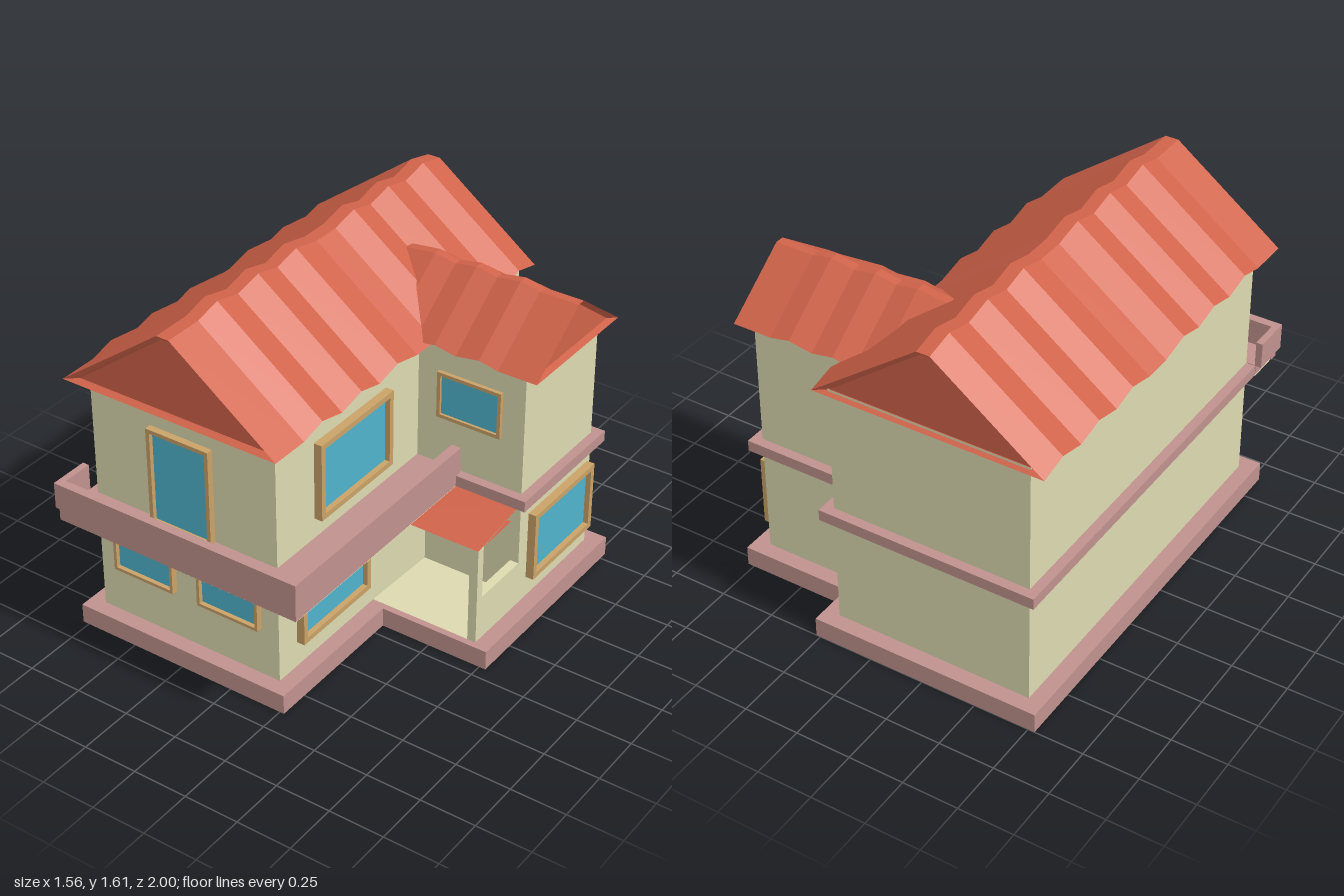
import * as THREE from 'three';

const mat = (color) => new THREE.MeshStandardMaterial({ color, flatShading: true, side: THREE.DoubleSide });
const V = (x, y, z) => new THREE.Vector3(x, y, z);

export function createModel() {
  const house = new THREE.Group();
  house.name = 'house';
  const cream = mat(0xdddab0), red = mat(0xd0634a), pink = mat(0xc0918d);
  const wood = mat(0xcaa267), glass = mat(0x4fb3cd);

  const add = (name, geometry, material, parent = house) => {
    const mesh = new THREE.Mesh(geometry, material);
    mesh.name = name;
    parent.add(mesh);
    return mesh;
  };
  const box = (name, material, [x0, x1], [y0, y1], [z0, z1], parent) =>
    add(name, new THREE.BoxGeometry(x1 - x0, y1 - y0, z1 - z0)
      .translate((x0 + x1) / 2, (y0 + y1) / 2, (z0 + z1) / 2), material, parent);

  // Joins cross-sections of equal length into a skin, optionally capped
  const loft = (sections, closed = true, caps = true) => {
    const pts = [], n = sections[0].length;
    for (let i = 0; i + 1 < sections.length; i++) {
      const a = sections[i], b = sections[i + 1];
      for (let j = 0; j < (closed ? n : n - 1); j++) {
        const k = (j + 1) % n;
        pts.push(a[j], b[j], b[k], a[j], b[k], a[k]);
      }
    }
    if (caps) {
      const last = sections[sections.length - 1];
      for (let j = 1; j + 1 < n; j++) {
        pts.push(sections[0][0], sections[0][j], sections[0][j + 1], last[0], last[j + 1], last[j]);
      }
    }
    const g = new THREE.BufferGeometry().setFromPoints(pts);
    g.computeVertexNormals();
    return g;
  };
  const quad = (name, material, a, b, c, d) => add(name, loft([[a, b], [d, c]], false, false), material);

  // Flat outlines in plan, given as [x, z]
  const ring = (name, outline, y0, y1, material) => add(name,
    loft([outline.map(([x, z]) => V(x, y0, z)), outline.map(([x, z]) => V(x, y1, z))], true, false), material);
  const plan = (outline, hole) => {
    const shape = new THREE.Shape(outline.map(([x, z]) => new THREE.Vector2(x, z)));
    if (hole) shape.holes.push(new THREE.Path(hole.map(([x, z]) => new THREE.Vector2(x, z))));
    return shape;
  };
  const plate = (name, shape, y, material) =>
    add(name, new THREE.ShapeGeometry(shape).rotateX(Math.PI / 2).translate(0, y, 0), material);
  const slab = (name, shape, y0, y1, material) =>
    add(name, new THREE.ExtrudeGeometry(shape, { depth: y1 - y0, bevelEnabled: false })
      .rotateX(Math.PI / 2).translate(0, y1, 0), material);
  // Main block with a wing on its left; o widens it all round
  const footprint = (o, wingFront, p = o) => [
    [-0.71 - o, 0.82 + o], [0.2 + o, 0.82 + o], [0.2 + o, wingFront + p], [0.71 + o, wingFront + p],
    [0.71 + o, -0.72 - o], [0.2 + o, -0.72 - o], [0.2 + o, -0.93 - o], [-0.71 - o, -0.93 - o]];

  // Walls, base and belt course
  const wallLine = footprint(0, -0.16);
  ring('walls', wallLine, 0.09, 1.23, cream);
  const baseLine = footprint(0.07, 0.16, 0.03);
  ring('baseSkirt', baseLine, 0, 0.09, pink);
  plate('baseLedge', plan(baseLine, footprint(0, 0.16)), 0.09, pink);
  slab('beltCourse', plan(footprint(0.043, -0.16), wallLine), 0.6, 0.65, pink);

  // Balcony wrapping the front and the left side
  const balconyLine = [[-0.755, 0.82], [0.2, 0.82], [0.2, -0.16], [0.42, -0.16], [0.42, 0.998], [-0.755, 0.998]];
  plate('balconyUnderside', plan(balconyLine), 0.598, cream);
  const floorLine = balconyLine.map(([x, z]) => [Math.min(x, 0.4), Math.min(z, 0.98)]);
  slab('balconyFloor', plan(floorLine), 0.605, 0.652, pink);
  box('balconyFrontParapet', pink, [-0.78, 0.42], [0.65, 0.77], [0.96, 1]);
  box('balconyFrontEdge', pink, [-0.76, 0.42], [0.6, 0.65], [0.96, 1]);
  box('balconySideParapet', pink, [0.375, 0.42], [0.6, 0.77], [-0.15, 0.96]);
  box('balconyEndParapet', pink, [-0.78, -0.75], [0.65, 0.77], [0.82, 0.96]);

  // Gabled roof running along z, rippled along its length, gables set back
  const roofSkin = (stations, y, half, ridge, height, ripple, inset) => {
    const section = (z, lift, s = 0) => [
      V(-half + 2.2 * s, y + lift + s * 0.4, z), V(-ridge, y + height + lift - s, z),
      V(ridge, y + height + lift - s, z), V(half - 2.2 * s, y + lift + s * 0.4, z)];
    const first = stations[0], last = stations[stations.length - 1];
    return loft([
      section(first[0] - 0.03, 0, inset),
      ...stations.map(([z, up]) => section(z, up * ripple)),
      section(last[0] + 0.03, 0, inset)]);
  };
  const mainStations = [[0.9, 0], [0.72, 0], [0.6, 1], [0.47, 0], [0.34, 1], [0.215, 0], [0.09, 1], [-0.05, 0],
    [-0.18, 0], [-0.31, 1], [-0.43, 0], [-0.56, 1], [-0.69, 0], [-0.82, 1], [-0.95, 0]];
  add('mainRoof', roofSkin(mainStations, 1.212, 0.522, 0.03, 0.365, 0.03, 0.03), red).position.x = -0.258;
  const wingStations = [[0.78, 0], [0.6, 0], [0.51, 1], [0.4, 0], [0.3, 1], [0.2, 0], [0.1, 1], [-0.05, 0]];
  const wingRoof = add('wingRoof', roofSkin(wingStations, 1.218, 0.32, 0.02, 0.222, 0.018, 0.02), red);
  wingRoof.rotation.y = Math.PI / 2;
  wingRoof.position.z = -0.44;

  // Porch: a tapering niche with a corner post, low side wall and lean-to roof
  const front = [V(0.2, 0.09, 0.16), V(0.71, 0.09, 0.16), V(0.71, 0.55, 0.16), V(0.2, 0.55, 0.16)];
  const back = [V(0.25, 0.14, -0.155), V(0.67, 0.14, -0.155), V(0.67, 0.5, -0.155), V(0.25, 0.5, -0.155)];
  quad('porchFloor', cream, front[0], front[1], back[1], back[0]);
  quad('porchCeiling', red, front[3], front[2], back[2], back[3]);
  quad('porchInnerWall', cream, front[0], front[3], back[3], back[0]);
  quad('porchBackWall', cream, ...back);
  quad('porchRoof', red, front[3], front[2], V(0.71, 0.6, -0.16), V(0.2, 0.6, -0.16));
  quad('porchSideLip', cream, V(0.71, 0.55, 0.13), V(0.71, 0.6, -0.16), V(0.67, 0.555, -0.16), V(0.67, 0.51, 0.13));
  box('porchPost', cream, [0.67, 0.71], [0.09, 0.55], [0.12, 0.16]);
  box('porchLowWall', cream, [0.67, 0.71], [0.09, 0.3], [-0.16, 0.12]);

  // Windows and balcony door: a frame with a hole and a recessed pane, facing +z
  const opening = (name, w, y0, y1, border, depth, sill = border) => {
    const group = new THREE.Group();
    group.name = name;
    const rect = (x, a, b) => [[-x, a], [x, a], [x, b], [-x, b]];
    const x = w / 2 - border;
    const shape = plan(rect(w / 2, y0, y1), rect(x, y0 + sill, y1 - border));
    add('frame', new THREE.ExtrudeGeometry(shape, { depth, bevelEnabled: false }), wood, group);
    add('pane', new THREE.PlaneGeometry(2 * x, y1 - y0 - sill - border)
      .translate(0, (y0 + sill + y1 - border) / 2, depth * 0.35), glass, group);
    house.add(group);
    return group;
  };
  for (const x of [-0.467, -0.037]) opening('frontWindow', 0.305, 0.32, 0.53, 0.014, 0.03).position.set(x, 0, 0.82);
  opening('balconyDoor', 0.307, 0.652, 1.09, 0.018, 0.03, 0.004).position.set(-0.258, 0, 0.82);
  opening('wingFrontWindow', 0.305, 0.885, 1.1, 0.016, 0.018).position.set(0.453, 0, -0.16);
  const sideWindows = [
    ['lowerSideWindow', 0.2, 0.465, 0.47, 0.21, 0.54],
    ['upperSideWindow', 0.2, 0.323, 0.495, 0.745, 1.1],
    ['wingSideWindow', 0.71, -0.463, 0.475, 0.19, 0.515]];
  for (const [name, x, z, w, y0, y1] of sideWindows) {
    const win = opening(name, w, y0, y1, 0.025, 0.037);
    win.rotation.y = Math.PI / 2;
    win.position.set(x, 0, z);
  }
  return house;
}
